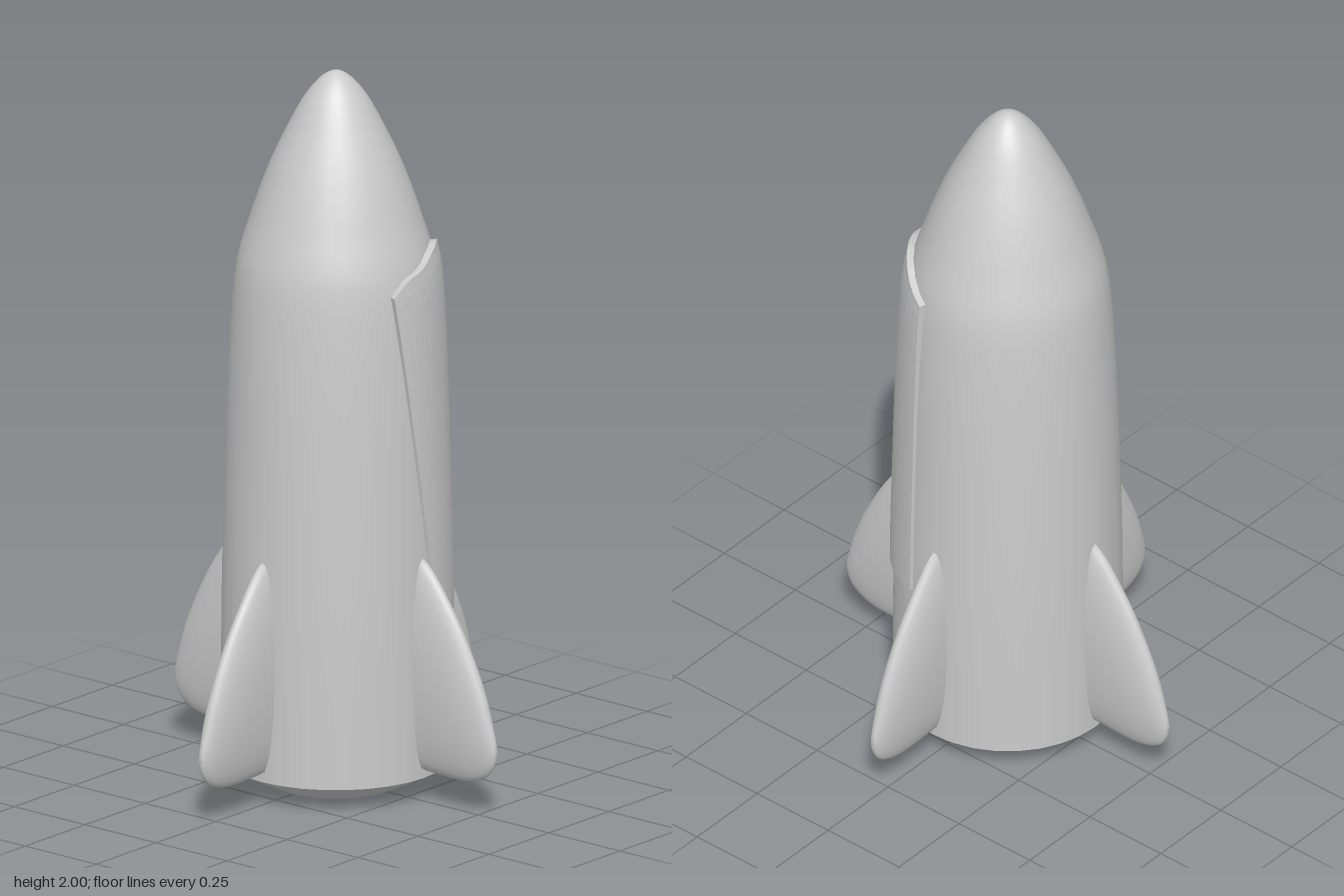
import * as THREE from 'three';
import { mergeVertices } from 'three/addons/utils/BufferGeometryUtils.js';

const SIDES = 32;
const v2 = (a) => a.map(([x, y]) => new THREE.Vector2(x, y));
const { clamp, lerp, degToRad } = THREE.MathUtils;

// Outer hull profile [radius, height]
const hullProfile = new THREE.SplineCurve(v2([
  [0.31, 0.065], [0.31, 0.4], [0.307, 0.65], [0.298, 1.0], [0.29, 1.2], [0.28, 1.36],
  [0.27, 1.45], [0.257, 1.51], [0.235, 1.58], [0.205, 1.67], [0.17, 1.76],
  [0.13, 1.845], [0.09, 1.92], [0.052, 1.97], [0.022, 1.994], [0, 2],
])).getPoints(60);
hullProfile.forEach((p) => { p.x = Math.max(p.x, 0); });

// Piecewise linear lookup in rows of [key, value]
function lookup(rows, k) {
  for (let i = 1; i < rows.length; i++) {
    const [k0, a] = rows[i - 1], [k1, b] = rows[i];
    if (k <= k1) return lerp(a, b, clamp((k - k0) / (k1 - k0), 0, 1));
  }
  return rows[rows.length - 1][1];
}
const hullRows = hullProfile.map((p) => [p.y, p.x]);
const hullRadius = (y) => lookup(hullRows, y);

// Surface from a rule giving the point at row i, column j
function gridSurface(rows, cols, rule) {
  const pos = [], index = [];
  for (let i = 0; i <= rows; i++) {
    for (let j = 0; j <= cols; j++) pos.push(...rule(i, j));
  }
  for (let i = 0; i < rows; i++) {
    for (let j = 0; j < cols; j++) {
      const a = i * (cols + 1) + j, c = a + cols + 1;
      index.push(a, a + 1, c, a + 1, c + 1, c);
    }
  }
  let g = new THREE.BufferGeometry();
  g.setAttribute('position', new THREE.Float32BufferAttribute(pos, 3));
  g.setIndex(index);
  g = mergeVertices(g, 1e-5);
  g.computeVertexNormals();
  return g;
}

// Fin: elliptical sections stacked outwards, along +x
function finGeometry() {
  const outline = new THREE.CatmullRomCurve3([
    // distance, lower edge, upper edge
    [0.285, 0.09, 0.69], [0.32, 0.088, 0.675], [0.41, 0.085, 0.56], [0.466, 0.088, 0.466],
    [0.52, 0.105, 0.35], [0.55, 0.132, 0.255], [0.562, 0.16, 0.212], [0.565, 0.184, 0.186],
  ].map((p) => new THREE.Vector3(...p))).getPoints(28);
  const cols = 28;
  return gridSurface(28, cols, (i, j) => {
    const { x, y: lo, z: hi } = outline[i];
    const s = clamp((x - 0.29) / 0.276, 0, 1);
    const thick = 0.043 * Math.sqrt(1 - s ** 2.5);
    const a = ((j % cols) / cols) * Math.PI * 2;
    return [x, (lo + hi) / 2 + ((hi - lo) / 2) * Math.cos(a), thick * Math.sin(a)];
  });
}

// Side panel: raised patch wrapped on the hull, its rim sunk into the hull
function panelGeometry() {
  const topEdge = [[-17, 1.43], [-11, 1.455], [-6, 1.472], [4, 1.482], [21, 1.515],
    [35, 1.525], [50, 1.51], [74, 1.46]];
  const rows = 26, cols = 22;
  const inner = (k, n) => clamp((k - 1) / (n - 2), 0, 1);
  return gridSurface(rows, cols, (i, j) => {
    const u = inner(j, cols), v = inner(i, rows);
    const start = lerp(9, -17, v);
    const deg = lerp(start, 74, u);
    const y = lerp(lerp(0.48, 0.51, u), lookup(topEdge, lerp(-17, 74, u)), v);
    const rim = i === 0 || j === 0 || i === rows || j === cols;
    const r = hullRadius(y) + (rim ? -0.015 : lerp(0.009, 0.018, v ** 4));
    const a = degToRad(deg);
    return [r * Math.cos(a), y, -r * Math.sin(a)];
  });
}

export function createModel() {
  const model = new THREE.Group();
  const smooth = new THREE.MeshStandardMaterial({ color: 0xcccccc });
  const faceted = new THREE.MeshStandardMaterial({ color: 0xcccccc, flatShading: true });
  const add = (name, geometry, material = smooth) => {
    const mesh = new THREE.Mesh(geometry, material);
    mesh.name = name;
    model.add(mesh);
    return mesh;
  };
  const lathe = (points) => new THREE.LatheGeometry(points, SIDES);

  // Hull with nose, then the tapered base and the recessed nozzle
  add('hull', lathe(hullProfile));
  add('taperedBase', lathe(v2([[0.178, 0], [0.31, 0.065]])));
  add('nozzleWall', lathe(v2([[0.172, 0.15], [0.178, 0]])));
  add('nozzleCeiling', lathe(v2([[0, 0.15], [0.172, 0.15]])));

  add('sidePanel', panelGeometry(), faceted);

  // Four fins around the base
  const fin = finGeometry();
  ['leftFin', 'backFin', 'rightFin', 'frontFin'].forEach((name, i) => {
    add(name, fin).rotation.y = (i * Math.PI) / 2;
  });
  return model;
}
